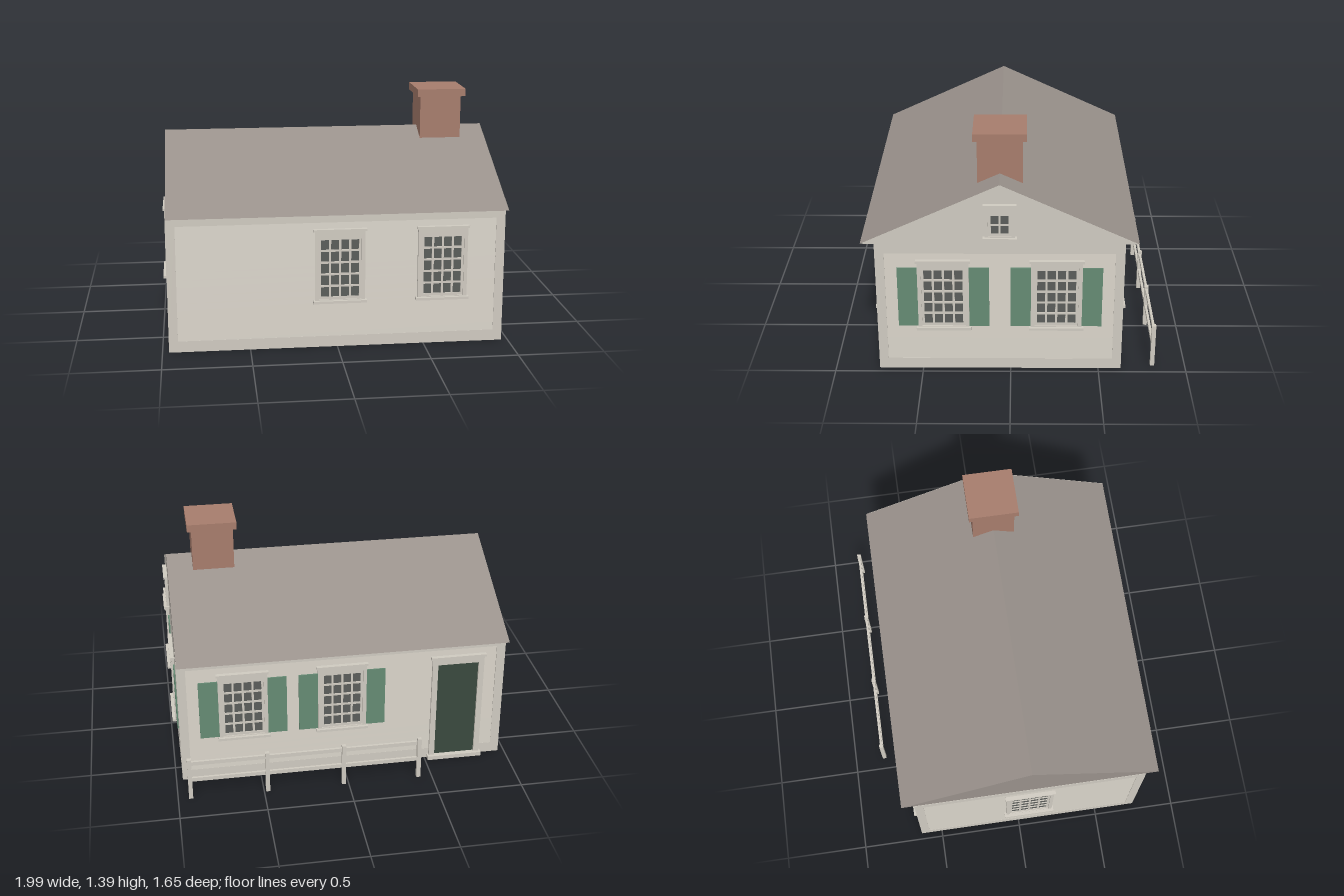
import * as THREE from 'three';

const mat = (name, color, side = THREE.FrontSide) => {
  const m = new THREE.MeshStandardMaterial({ color, side });
  m.name = name;
  return m;
};

export function createModel() {
  const cream = mat('cream paint', 0xcfcac0, THREE.DoubleSide);
  const slate = mat('roof brown grey', 0x98908a);
  const brick = mat('brick', 0xa67c6c);
  const green = mat('shutter green', 0x658a73);
  const glass = mat('dark glass', 0x5a5d5a);
  const doorGreen = mat('dark door green', 0x39493e);

  const add = (parent, name, geometry, material, x = 0, y = 0, z = 0) => {
    const m = new THREE.Mesh(geometry, material);
    m.name = name;
    m.position.set(x, y, z);
    parent.add(m);
    return m;
  };
  const group = (parent, name) => {
    const g = new THREE.Group();
    g.name = name;
    parent.add(g);
    return g;
  };
  // box given by its centre in x, its bottom in y and its back in z
  const box = (parent, name, material, w, h, d, x, y, z = 0) =>
    add(parent, name, new THREE.BoxGeometry(w, h, d), material, x, y + h / 2, z + d / 2);

  // rectangular board with rectangular openings, each [x0, y0, x1, y1]
  const rect = (T, [x0, y0, x1, y1]) => new T([
    new THREE.Vector2(x0, y0), new THREE.Vector2(x1, y0),
    new THREE.Vector2(x1, y1), new THREE.Vector2(x0, y1)]);
  const pierced = (outer, holes, depth) => {
    const s = rect(THREE.Shape, outer);
    holes.forEach((h) => s.holes.push(rect(THREE.Path, h)));
    return new THREE.ExtrudeGeometry(s, { depth, bevelEnabled: false });
  };

  // overlapping boards: each leans out toward its lower edge
  const clapboards = (half, y0, y1, count) => {
    const pos = [];
    const quad = (ya, za, yb, zb) => pos.push(
      -half, ya, za, half, ya, za, half, yb, zb,
      -half, ya, za, half, yb, zb, -half, yb, zb);
    const h = (y1 - y0) / count, out = -0.001, back = -0.008;
    for (let i = 0; i < count; i++) {
      const y = y0 + i * h;
      quad(y, out, y + h, back);
      if (i < count - 1) quad(y + h, back, y + h, out);
    }
    const g = new THREE.BufferGeometry();
    g.setAttribute('position', new THREE.Float32BufferAttribute(pos, 3));
    g.computeVertexNormals();
    return g;
  };

  // wall with corner boards; local x runs along it, local z points outward
  const wall = (parent, name, half, x, z, turn) => {
    const g = group(parent, name);
    g.position.set(x, 0, z);
    g.rotation.y = turn;
    const inner = half - 0.052;
    add(g, 'wallFrame', pierced([-half, 0, half, 0.8], [[-inner, 0.065, inner, 0.74]], 0.008), cream, 0, 0, -0.008);
    add(g, 'clapboards', clapboards(inner, 0.065, 0.74, 15), cream);
    return g;
  };

  // sash window with casing, head, sill and optional shutters
  const windowUnit = (parent, name, x, y, o) => {
    const g = group(parent, name);
    g.position.set(x, y, 0.001);
    const { w, h, sashW, sash0, sash1, paneW, pane0, pane1, cols, rows, bar } = o;
    add(g, 'casing', pierced([-w, 0, w, h], [[-sashW, sash0, sashW, sash1]], 0.016), cream);
    const pw = (2 * paneW - bar * (cols - 1)) / cols;
    const ph = (pane1 - pane0 - bar * (rows - 1)) / rows;
    const holes = [];
    for (let c = 0; c < cols; c++) {
      for (let r = 0; r < rows; r++) {
        const px = -paneW + c * (pw + bar), py = pane0 + r * (ph + bar);
        holes.push([px, py, px + pw, py + ph]);
      }
    }
    add(g, 'sash', pierced([-sashW, sash0, sashW, sash1], holes, 0.009), cream);
    box(g, 'glass', glass, 2 * paneW + 0.01, pane1 - pane0 + 0.01, 0.004, 0, pane0 - 0.005);
    box(g, 'head', cream, 2 * w + 0.016, 0.014, 0.024, 0, h);
    box(g, 'sill', cream, 2 * w + 0.02, 0.015, 0.033, 0, -0.015);
    if (o.shutters) {
      for (const s of [-1, 1]) box(g, 'shutter', green, 0.112, 0.37, 0.008, s * (w + 0.056), 0);
    }
    return g;
  };
  const large = {
    w: 0.143, h: 0.405, sashW: 0.122, sash0: 0.004, sash1: 0.375,
    paneW: 0.108, pane0: 0.02, pane1: 0.355, cols: 4, rows: 5, bar: 0.012,
  };
  const shuttered = { ...large, shutters: true };
  const attic = {
    w: 0.083, h: 0.182, sashW: 0.064, sash0: 0.004, sash1: 0.143,
    paneW: 0.048, pane0: 0.02, pane1: 0.128, cols: 2, rows: 2, bar: 0.01,
  };

  const house = new THREE.Group();
  house.name = 'house';

  // four walls around an open base
  const midZ = 0.06, halfX = 0.963, halfZ = 0.69;
  const front = wall(house, 'frontWall', halfX, 0, midZ + halfZ, 0);
  const back = wall(house, 'backWall', halfX, 0, midZ - halfZ, Math.PI);
  const left = wall(house, 'leftWall', halfZ, halfX, midZ, Math.PI / 2);
  const right = wall(house, 'rightWall', halfZ, -halfX, midZ, -Math.PI / 2);

  // windows
  for (const x of [0.013, 0.602]) windowUnit(front, 'frontWindow', x, 0.285, large);
  for (const x of [-0.315, 0.315]) windowUnit(left, 'sideWindow', x, 0.285, shuttered);
  for (const x of [-0.59, -0.01]) windowUnit(back, 'backWindow', x, 0.285, shuttered);
  windowUnit(right, 'sideWindow', 0, 0.285, large);
  windowUnit(left, 'atticWindow', 0, 0.848, attic);

  // back door
  const door = group(back, 'door');
  door.position.set(0.68, 0, 0.001);
  add(door, 'doorCasing', pierced([-0.155, 0, 0.155, 0.69], [[-0.122, 0.025, 0.122, 0.65]], 0.016), cream);
  box(door, 'doorLeaf', doorGreen, 0.25, 0.63, 0.004, 0, 0.022);
  box(door, 'doorHead', cream, 0.33, 0.014, 0.024, 0, 0.69);
  box(door, 'doorStep', cream, 0.33, 0.025, 0.035, 0, 0);

  // roof prism, with a painted gable on the chimney end
  const gableShape = new THREE.Shape([
    new THREE.Vector2(-0.766, 0.8), new THREE.Vector2(0.766, 0.8), new THREE.Vector2(0, 1.155)]);
  const roof = add(house, 'roof',
    new THREE.ExtrudeGeometry(gableShape, { depth: 1.922, bevelEnabled: false }), slate, -0.961, 0, midZ);
  roof.rotation.y = Math.PI / 2;
  add(left, 'gable', new THREE.ShapeGeometry(gableShape), cream);

  // chimney
  const chimney = group(house, 'chimney');
  box(chimney, 'chimneyStack', brick, 0.245, 0.255, 0.25, 0.688, 1.097, midZ - 0.125);
  box(chimney, 'chimneyCap', brick, 0.29, 0.045, 0.295, 0.69, 1.35, midZ - 0.1475);

  // fence behind the house
  const fence = group(house, 'fence');
  for (let i = 0; i < 4; i++) {
    box(fence, 'fencePost', cream, 0.024, 0.265, 0.024, -0.42 + i * 0.4485, 0, -0.825);
  }
  for (const y of [0.115, 0.225]) box(fence, 'fenceRail', cream, 1.345, 0.024, 0.014, 0.253, y, -0.82);

  return house;
}
